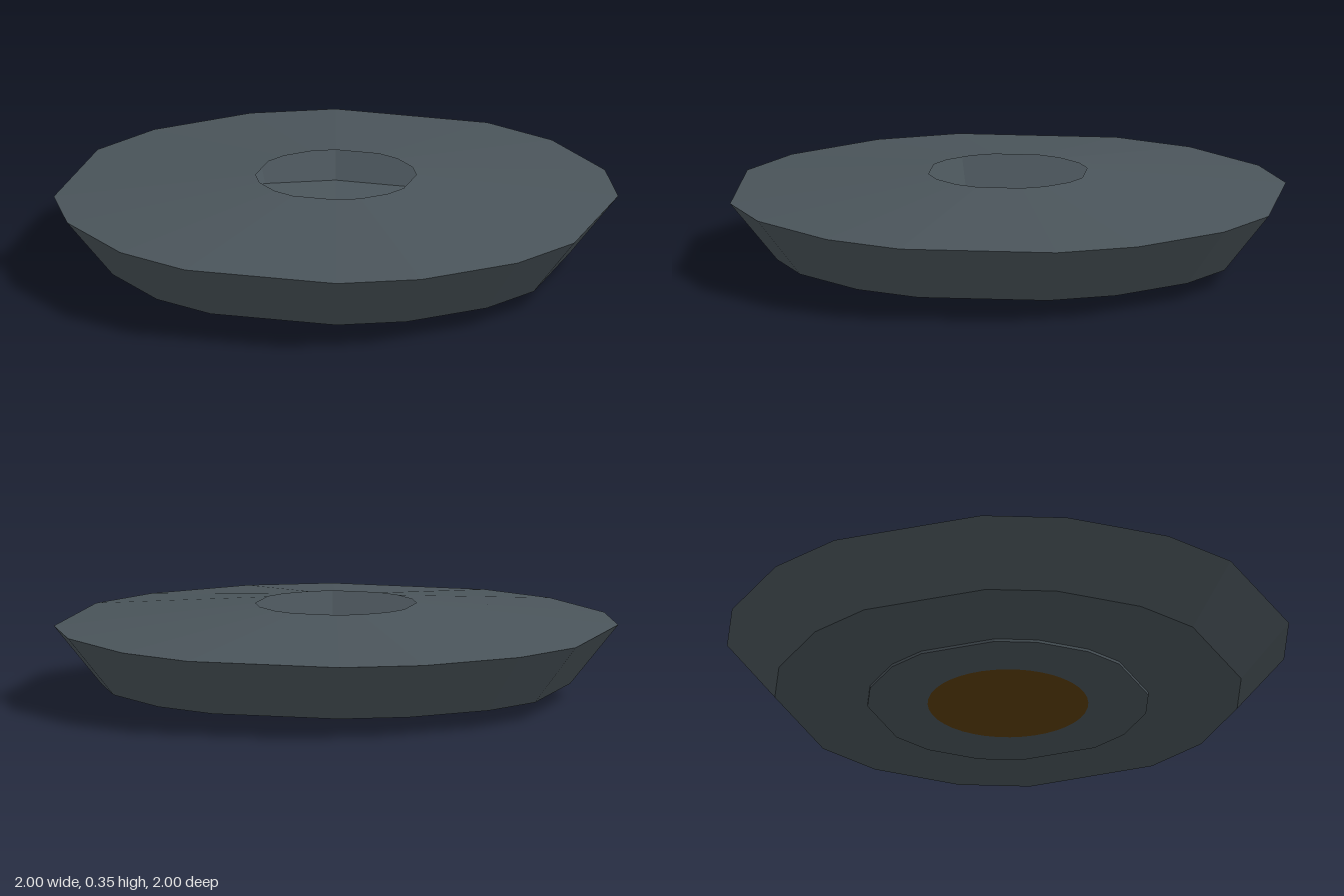
import * as THREE from 'three';

// Uneven sixteen-sided outline, repeated every quarter turn
const ANGLES = [];
for (let q = 0; q < 4; q++) {
  for (const a of [0, 22.5, 40, 72.5]) ANGLES.push(THREE.MathUtils.degToRad(a + q * 90));
}

// Skin a [radius, height] profile around the outline
function loft(profile) {
  const n = ANGLES.length, positions = [], index = [];
  for (const [r, y] of profile) {
    for (const a of ANGLES) positions.push(r * Math.cos(a), y, r * Math.sin(a));
  }
  for (let i = 0; i < profile.length - 1; i++) {
    for (let j = 0; j < n; j++) {
      const k = (j + 1) % n;
      const a = i * n + j, b = i * n + k, c = a + n, d = b + n;
      index.push(a, b, c, b, d, c);
    }
  }
  const g = new THREE.BufferGeometry();
  g.setAttribute('position', new THREE.Float32BufferAttribute(positions, 3));
  g.setIndex(index);
  g.computeVertexNormals();
  return g;
}

function addPart(group, name, geometry, color) {
  const material = new THREE.MeshStandardMaterial({ color, flatShading: true, side: THREE.DoubleSide });
  const mesh = new THREE.Mesh(geometry, material);
  mesh.name = name;
  group.add(mesh);
  return mesh;
}

export function createModel() {
  const group = new THREE.Group();
  group.name = 'saucer';

  // Thin hollow shell, open at the top
  addPart(group, 'shell', loft([[0.285, 0.35], [1, 0.27], [0.83, 0.06], [0.5, 0.02]]), 0x4a545a);

  // Shallow step under the shell, running in to the centre disc
  addPart(group, 'baseRing', loft([[0.5, 0.02], [0.5, 0.01], [0.28, 0.001]]), 0x4a545a);

  // Dark floor inside the shell
  addPart(group, 'innerFloor', loft([[0.28, 0.02], [0.5, 0.02]]), 0x1c1f21);

  // Round amber disc in the middle of the base
  const disc = addPart(group, 'centreDisc', new THREE.CircleGeometry(0.285, 40), 0x5c3f0c);
  disc.rotation.x = -Math.PI / 2;

  return group;
}
